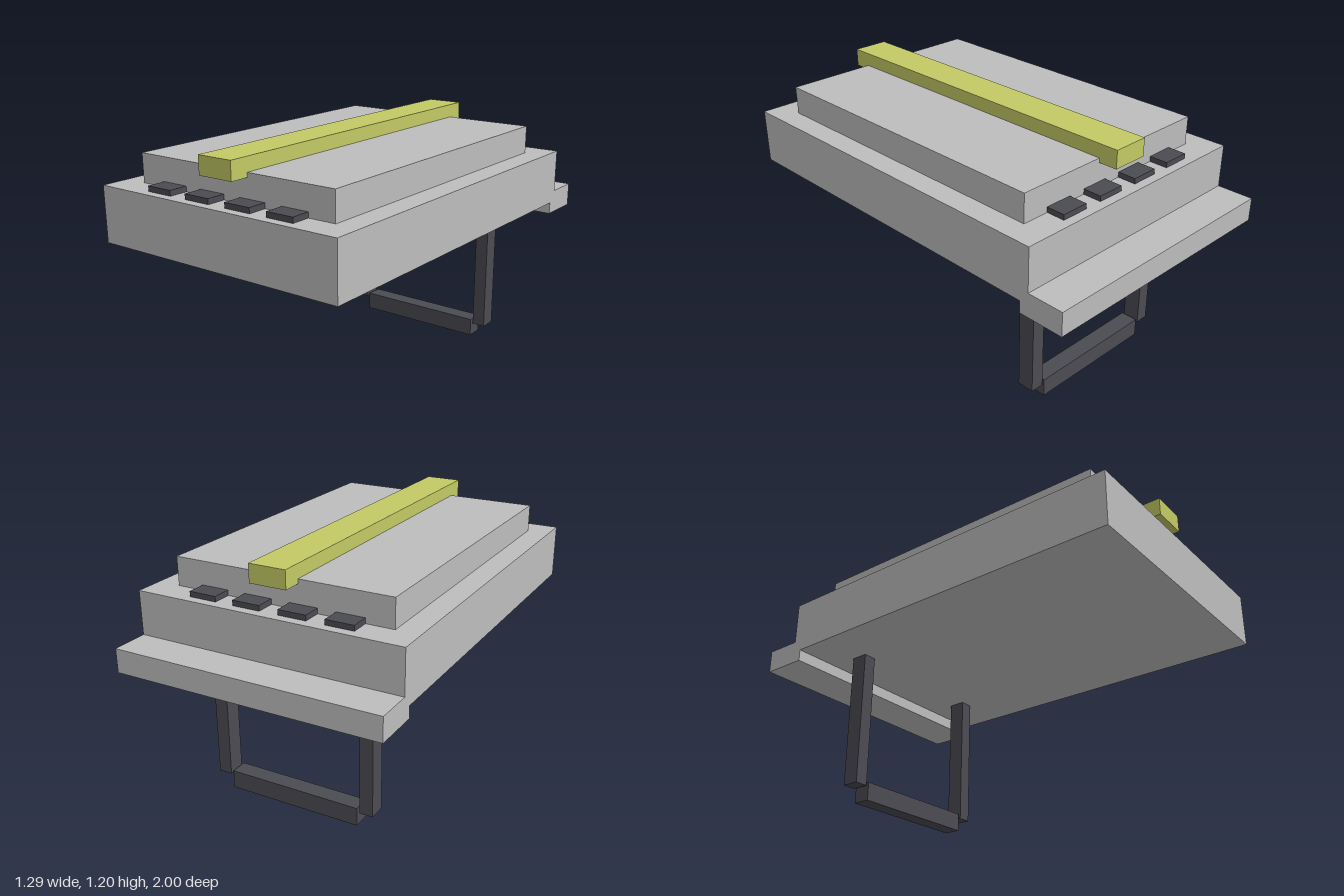
import * as THREE from 'three';

export function createModel() {
  const model = new THREE.Group();
  model.name = 'steppedSlabOnFrame';

  const material = (name, color) => {
    const m = new THREE.MeshStandardMaterial({ color });
    m.name = name;
    return m;
  };
  const grey = material('lightGrey', 0xbdbdbd);
  const dark = material('darkGrey', 0x4b4b52);
  const yellow = material('yellowGreen', 0xc3c964);

  // Box given by its extents on each axis
  const box = (name, mat, [x0, x1], [y0, y1], [z0, z1]) => {
    const mesh = new THREE.Mesh(new THREE.BoxGeometry(x1 - x0, y1 - y0, z1 - z0), mat);
    mesh.position.set((x0 + x1) / 2, (y0 + y1) / 2, (z0 + z1) / 2);
    mesh.name = name;
    model.add(mesh);
  };

  // Main slab with the rear step: one side profile extruded across the width
  const width = 1.286;
  const profile = new THREE.Shape([
    [1, 0.737], [1, 1], [-0.822, 1], [-0.822, 0.793],
    [-1, 0.793], [-1, 0.68], [-0.778, 0.68], [-0.778, 0.737],
  ].map(([z, y]) => new THREE.Vector2(-z, y)));
  const slabGeometry = new THREE.ExtrudeGeometry(profile, { depth: width, bevelEnabled: false });
  slabGeometry.translate(0, 0, -width / 2).rotateY(Math.PI / 2);
  const slab = new THREE.Mesh(slabGeometry, grey);
  slab.name = 'mainSlab';
  model.add(slab);

  // Raised deck and the rail lying along it
  box('upperDeck', grey, [-0.532, 0.532], [1, 1.135], [-0.688, 0.866]);
  box('topRail', yellow, [-0.089, 0.089], [1.114, 1.2], [-0.778, 0.957]);

  // Flat straps that emerge at both ends of the deck
  for (const x of [-0.333, -0.112, 0.112, 0.333]) {
    box('strap', dark, [x - 0.067, x + 0.067], [1, 1.025], [-0.778, 0.957]);
  }

  // Support frame: two legs and a foot bar
  const frameZ = [-0.64, -0.556];
  for (const side of [-1, 1]) {
    const x = side * 0.379;
    box(side > 0 ? 'leftLeg' : 'rightLeg', dark, [x - 0.033, x + 0.033], [0.069, 0.737], frameZ);
  }
  box('footBar', dark, [-0.333, 0.333], [0, 0.089], frameZ);

  return model;
}
